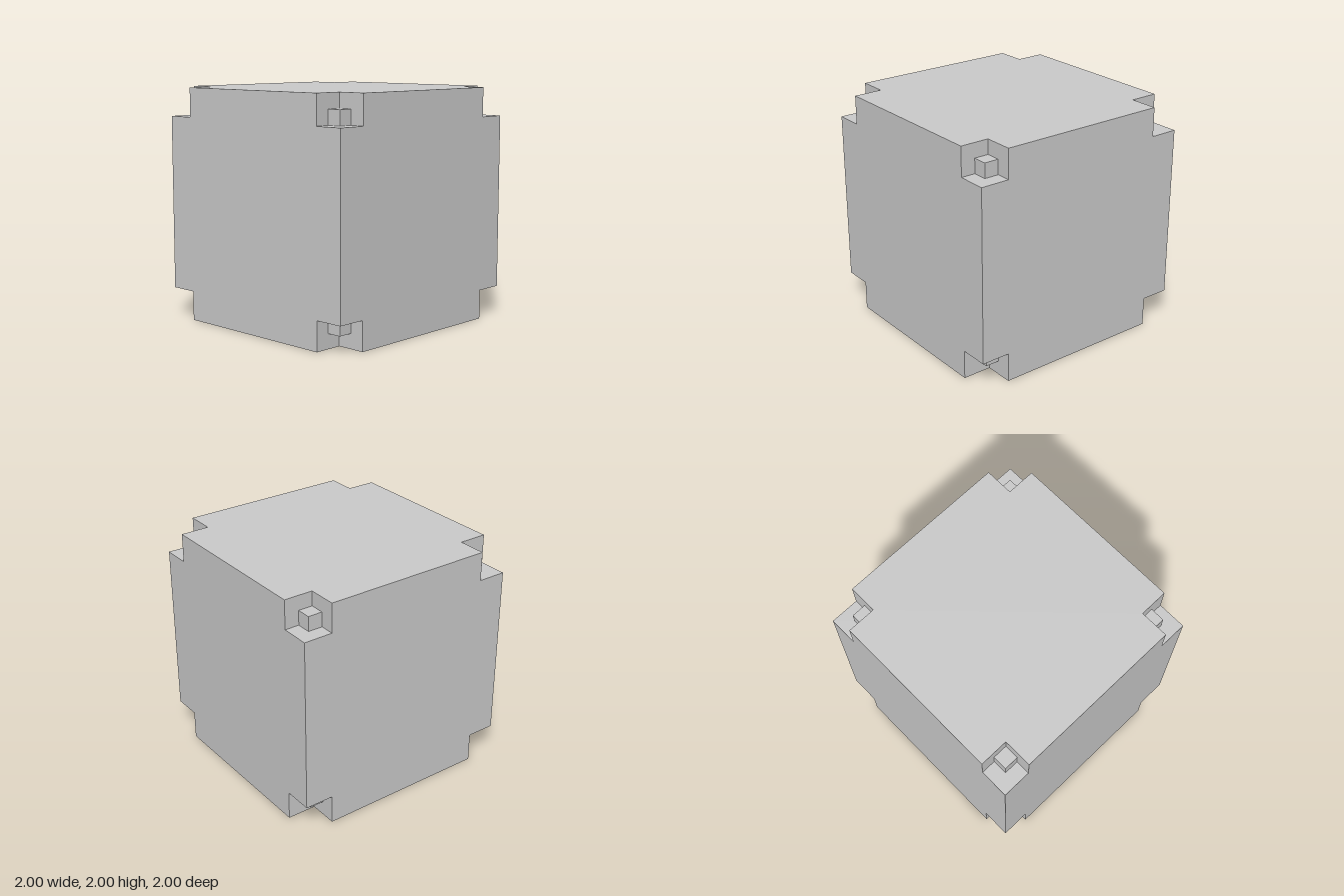
import * as THREE from 'three';
import { mergeGeometries } from 'three/addons/utils/BufferGeometryUtils.js';

const HALF = 1;        // half the cube's side
const INNER = 0.75;    // where the corner notches begin
const STUD = 0.125;    // side of the small cube in each notch
const SIGNS = [-1, 1];

// One side of the cube, facing +z: a cross-shaped panel and four sunken notch squares
function sideGeometry() {
  const cross = new THREE.Shape([
    [-INNER, -HALF], [INNER, -HALF], [INNER, -INNER], [HALF, -INNER],
    [HALF, INNER], [INNER, INNER], [INNER, HALF], [-INNER, HALF],
    [-INNER, INNER], [-HALF, INNER], [-HALF, -INNER], [-INNER, -INNER],
  ].map(([x, y]) => new THREE.Vector2(x, y)));
  const parts = [new THREE.ShapeGeometry(cross).translate(0, 0, HALF)];
  const size = HALF - INNER;
  const mid = (HALF + INNER) / 2;
  for (const x of SIGNS) for (const y of SIGNS) {
    parts.push(new THREE.PlaneGeometry(size, size).translate(x * mid, y * mid, INNER));
  }
  return mergeGeometries(parts.map((g) => g.toNonIndexed()));
}

export function createModel() {
  const model = new THREE.Group();
  model.name = 'notchedCube';
  const material = new THREE.MeshStandardMaterial({ color: 0xcccccc, flatShading: true });

  // Body: the same side turned to all six directions
  const side = sideGeometry();
  const sides = [0, 1, 2, 3].map((i) => side.clone().rotateY(i * Math.PI / 2));
  for (const s of SIGNS) sides.push(side.clone().rotateX(s * Math.PI / 2));
  const body = new THREE.Mesh(mergeGeometries(sides), material);
  body.name = 'body';
  body.position.y = HALF;
  model.add(body);

  // Small cube seated in the inner corner of each notch
  const studs = new THREE.Group();
  studs.name = 'cornerStuds';
  studs.position.y = HALF;
  const studGeometry = new THREE.BoxGeometry(STUD, STUD, STUD);
  const c = INNER + STUD / 2;
  for (const x of SIGNS) for (const y of SIGNS) for (const z of SIGNS) {
    const stud = new THREE.Mesh(studGeometry, material);
    stud.name = 'cornerStud';
    stud.position.set(x * c, y * c, z * c);
    studs.add(stud);
  }
  model.add(studs);
  return model;
}
